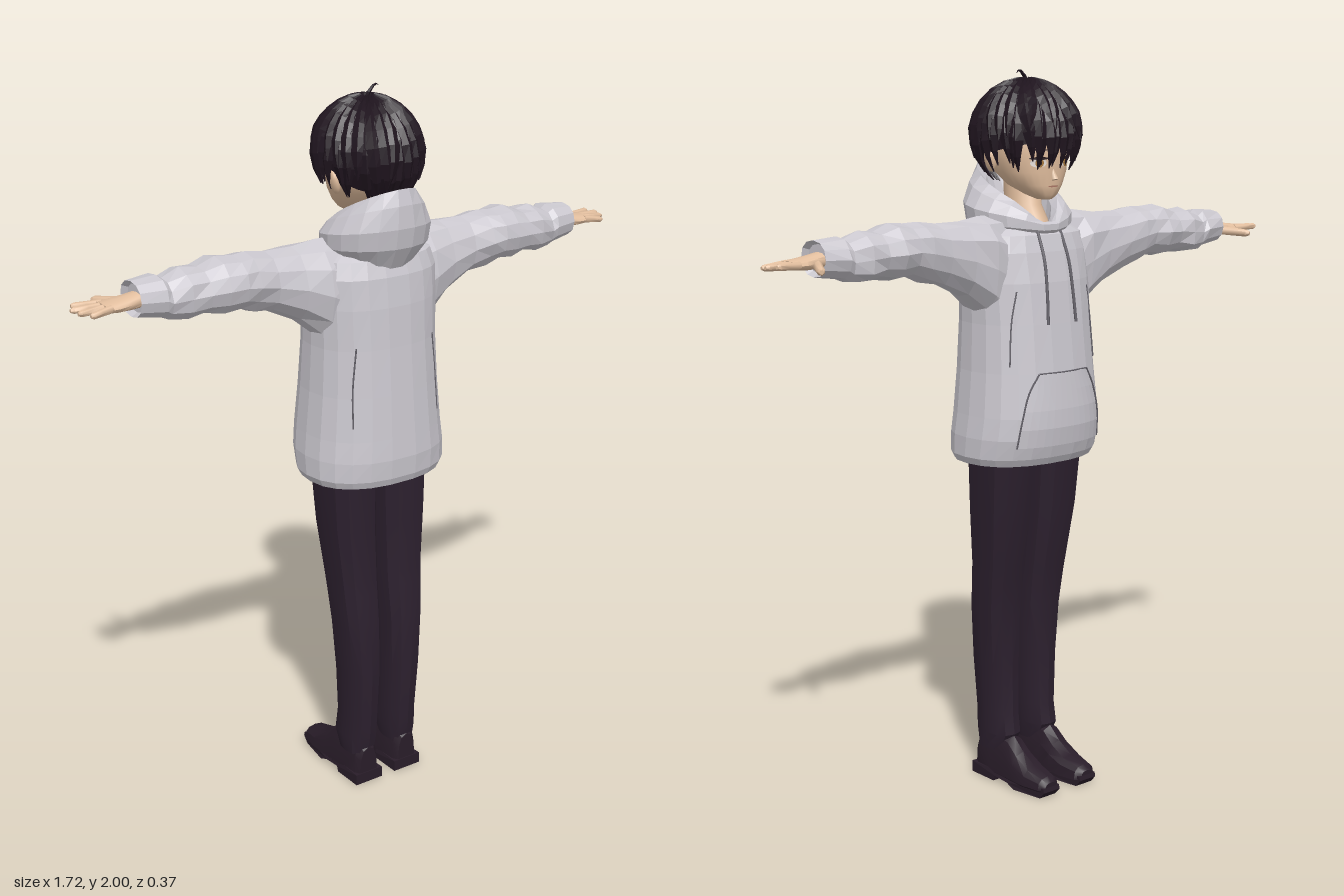
import * as THREE from 'three';
import { toCreasedNormals } from 'three/addons/utils/BufferGeometryUtils.js';

const V = (x, y, z) => new THREE.Vector3(x, y, z);
const mat = (name, color, side = THREE.FrontSide) => {
  const m = new THREE.MeshStandardMaterial({ color, side });
  m.name = name;
  return m;
};
const hash = (i) => { const s = Math.sin(i * 127.1 + 11.7) * 43758.5453; return s - Math.floor(s); };
const pw = (v, n) => Math.sign(v) * Math.abs(v) ** (2 / n);

// Closed rings of points joined into a skin with fan caps
function loft(rings, { crease = 0, capStart = true } = {}) {
  const mid = (r) => r.reduce((s, p) => s.add(p), V(0, 0, 0)).divideScalar(r.length);
  const n = rings[0].length, pos = [];
  const end = mid(rings.at(-1)), all = [...rings, rings[0].map(() => end)];
  if (capStart) { const c = mid(rings[0]); all.unshift(rings[0].map(() => c)); }
  const tri = (a, b, c) => {
    if (a.distanceTo(b) < 1e-6 || b.distanceTo(c) < 1e-6 || a.distanceTo(c) < 1e-6) return;
    pos.push(...a.toArray(), ...b.toArray(), ...c.toArray());
  };
  for (let i = 0; i < all.length - 1; i++) for (let j = 0; j < n; j++) {
    const k = (j + 1) % n, [p, q] = [all[i], all[i + 1]];
    tri(p[j], q[j], p[k]);
    tri(q[j], q[k], p[k]);
  }
  const g = new THREE.BufferGeometry();
  g.setAttribute('position', new THREE.Float32BufferAttribute(pos, 3));
  g.computeVertexNormals();
  return crease ? toCreasedNormals(g, crease) : g;
}
const ring = (n, f) => Array.from({ length: n }, (_, i) => {
  const a = (i / n) * Math.PI * 2;
  return f(Math.cos(a), Math.sin(a), i);
});
// Horizontal section: [y, half width, front z, back z]
const flatRing = ([y, rx, zf, zb], n, e, xc = 0) =>
  ring(n, (c, s) => V(xc + rx * pw(c, e), y, (zf + zb) / 2 + ((zb - zf) / 2) * pw(s, e)));
// Section across the arm: [x, low y, high y, front z, back z]
const armRing = ([x, y0, y1, zf, zb], n, e, wob = 0) => ring(n, (c, s, i) => {
  const k = 1 + wob * (hash(i * 7 + x * 91) - 0.5);
  return V(x, (y0 + y1) / 2 + ((y1 - y0) / 2) * k * pw(s, e), (zf + zb) / 2 + ((zb - zf) / 2) * k * pw(c, e));
});
// Depth of the front (side -1) or back (+1) surface of a horizontal loft
function depth(rows, x, y, e, side = -1) {
  let i = 0;
  while (i < rows.length - 2 && rows[i + 1][0] < y) i++;
  const t = THREE.MathUtils.clamp((y - rows[i][0]) / (rows[i + 1][0] - rows[i][0]), 0, 1);
  const [, rx, zf, zb] = rows[i].map((v, k) => v + (rows[i + 1][k] - v) * t);
  return (zf + zb) / 2 + side * ((zb - zf) / 2) * Math.max(0, 1 - Math.abs(x / rx) ** e) ** (1 / e);
}
// Tapered strand along points, flattened along its normals
function strand(pts, normals, width, thick, sides = 4, crease = 0) {
  const last = pts.length - 1;
  return loft(pts.map((p, i) => {
    const d = pts[Math.min(i + 1, last)].clone().sub(pts[Math.max(i - 1, 0)]).normalize();
    const n = Array.isArray(normals) ? normals[i] : normals;
    const s = d.clone().cross(n).normalize(), v = s.clone().cross(d);
    return ring(sides, (c, q) => p.clone().addScaledVector(s, c * width(i / last)).addScaledVector(v, q * thick(i / last)));
  }), { crease });
}

export function createModel() {
  const model = new THREE.Group();
  model.name = 'hoodedFigure';
  const D = THREE.DoubleSide;
  const cloth = mat('pale grey cloth', 0xcbc8cf, D), line = mat('seam grey', 0x67646c);
  const trouser = mat('dark plum cloth', 0x2c202e), shoe = mat('dark shoe', 0x291d29);
  const skin = mat('skin', 0xe3bf9f), hair = mat('black plum hair', 0x20151f, D);
  const white = mat('eye white', 0xeee6e2, D), iris = mat('amber iris', 0xa8793f, D);
  const dark = mat('lash dark', 0x2a1a1c, D), lip = mat('lip', 0xb57f6c, D);
  const add = (name, g, m, parent = model) => {
    const o = new THREE.Mesh(g, m);
    o.name = name;
    parent.add(o);
    return o;
  };
  const pair = (name, g, m) => {
    add(name + 'Left', g, m);
    add(name + 'Right', g, m).scale.x = -1;
  };
  const tube = (pts, r) => new THREE.TubeGeometry(new THREE.CatmullRomCurve3(pts), 14, r, 5);

  // Hoodie body, with a tucked hem
  const torso = [
    [0.945, 0.2, -0.13, 0.172], [0.965, 0.21, -0.142, 0.18], [1.02, 0.21, -0.16, 0.184], [1.08, 0.203, -0.163, 0.18],
    [1.2, 0.192, -0.152, 0.172], [1.33, 0.186, -0.138, 0.163], [1.44, 0.188, -0.125, 0.157],
    [1.52, 0.188, -0.108, 0.148], [1.565, 0.175, -0.094, 0.132], [1.588, 0.13, -0.07, 0.1],
  ];
  const E = 2.35;
  add('hoodieBody', loft([[0.99, 0.185, -0.115, 0.155], ...torso].map((r) => flatRing(r, 22, E))), cloth);

  // Sleeves with folds and cuffs
  pair('sleeve', loft([
    [0.09, 1.27, 1.612, -0.075, 0.1], [0.17, 1.345, 1.615, -0.088, 0.105], [0.24, 1.405, 1.607, -0.08, 0.088],
    [0.32, 1.445, 1.602, -0.078, 0.08], [0.38, 1.458, 1.615, -0.086, 0.085], [0.42, 1.478, 1.608, -0.08, 0.09],
    [0.47, 1.468, 1.614, -0.088, 0.09], [0.52, 1.478, 1.6, -0.08, 0.076], [0.57, 1.47, 1.6, -0.084, 0.072],
    [0.62, 1.477, 1.583, -0.07, 0.056], [0.635, 1.486, 1.592, -0.074, 0.06], [0.705, 1.495, 1.588, -0.064, 0.046],
    [0.69, 1.505, 1.578, -0.054, 0.036],
  ].map((r, i) => armRing(r, 12, 2.2, i > 10 ? 0 : 0.13))), cloth);

  // Lowered hood: [half width, front z, back z, front y, back y, front notch]
  const hoodRings = [
    [0.1, -0.085, 0.135, 1.56, 1.53, 0], [0.148, -0.1, 0.176, 1.585, 1.6, 0.01], [0.152, -0.1, 0.186, 1.61, 1.655, 0.02],
    [0.125, -0.092, 0.182, 1.63, 1.715, 0.035], [0.098, -0.08, 0.17, 1.635, 1.757, 0.045],
    [0.08, -0.062, 0.14, 1.62, 1.72, 0.045], [0.06, -0.05, 0.09, 1.56, 1.6, 0.01],
  ].map(([rx, zf, zb, yf, yb, notch]) => ring(18, (c, s) => {
    const y = (yf + yb) / 2 + ((yb - yf) / 2) * s - notch * Math.max(0, -s) ** 6;
    return V(rx * c, y, (zf + zb) / 2 + ((zb - zf) / 2) * s);
  }));
  add('hood', loft(hoodRings), cloth);

  // Front pouch pocket following the belly
  const pocket = new THREE.PlaneGeometry(2, 1, 12, 4), pp = pocket.attributes.position;
  for (let i = 0; i < pp.count; i++) {
    const v = pp.getY(i) + 0.5, x = pp.getX(i) * (0.145 - 0.06 * v * v), y = 1.0 + 0.2 * v;
    pp.setXYZ(i, x, y, depth(torso, x, y, E) - 0.005);
  }
  add('pocket', toCreasedNormals(pocket, 0.01), cloth);

  // Seams, drawn as fine cords on the cloth
  const seam = (list, side = -1, off = 0.006) => list.map(([x, y]) => V(x, y, depth(torso, x, y, E, side) + side * off));
  pair('pocketSeam', tube(seam([[0.145, 1.0], [0.135, 1.08], [0.115, 1.15], [0.085, 1.2]]), 0.0025), line);
  add('pocketTopSeam', tube(seam([[-0.085, 1.2], [0, 1.2], [0.085, 1.2]]), 0.002), line);
  pair('backSeam', tube(seam([[0.14, 1.12], [0.137, 1.22], [0.125, 1.34]], 1, 0), 0.0025), line);
  pair('frontFold', tube(seam([[0.15, 1.22], [0.14, 1.34], [0.125, 1.42]], -1, 0), 0.0022), line);
  pair('drawstring', tube(seam([[0.04, 1.58], [0.043, 1.5], [0.046, 1.42], [0.05, 1.33]], -1, 0.008), 0.0045), line);

  // Trouser legs
  pair('trouserLeg', loft([
    [0.09, 0.043, 0.005, 0.108, 0.07], [0.14, 0.048, -0.022, 0.118, 0.068], [0.2, 0.046, -0.014, 0.122, 0.067],
    [0.35, 0.052, -0.014, 0.132, 0.069], [0.5, 0.059, -0.02, 0.13, 0.073], [0.6, 0.064, -0.034, 0.12, 0.075],
    [0.64, 0.065, -0.042, 0.117, 0.076], [0.8, 0.073, -0.068, 0.113, 0.083], [1.0, 0.08, -0.09, 0.115, 0.085],
  ].map((r) => flatRing(r, 12, 2.5, r[4])), { crease: 0.5 }), trouser);

  // Shoes: uppers lofted from toe to heel, over a heeled sole
  const shoeRings = [
    [-0.18, 0.022, 0.045], [-0.165, 0.037, 0.058], [-0.11, 0.047, 0.072], [-0.06, 0.046, 0.1],
    [-0.02, 0.043, 0.135], [0.04, 0.042, 0.145], [0.095, 0.04, 0.135], [0.112, 0.03, 0.11],
  ].map(([z, rx, top]) => ring(12, (c, s) => {
    const y = c > 0 ? 0.025 + (top - 0.025) * pw(c, 2.4) : 0.02;
    return V(0.068 + rx * pw(s, 2.6), y, z);
  }));
  pair('shoeUpper', loft(shoeRings, { crease: 0.5 }), shoe);
  const profile = new THREE.Shape([[-0.115, 0], [-0.02, 0], [-0.015, 0.016], [0.04, 0.012], [0.07, 0], [0.165, 0],
    [0.183, 0.02], [0.18, 0.032], [-0.115, 0.032]].map(([a, b]) => new THREE.Vector2(a, b)));
  const sole = new THREE.ExtrudeGeometry(profile, { depth: 0.09, bevelEnabled: false });
  sole.rotateY(Math.PI / 2).translate(0.023, 0, 0);
  const sp = sole.attributes.position;
  for (let i = 0; i < sp.count; i++) if (sp.getZ(i) < -0.16) sp.setX(i, 0.068 + (sp.getX(i) - 0.068) * 0.65);
  sole.computeVertexNormals();
  pair('shoeSole', sole, shoe);

  // Hands with four fingers and a thumb
  pair('palm', loft([[0.67, 1.52, 1.562, -0.037, 0.02], [0.715, 1.517, 1.553, -0.045, 0.022],
    [0.75, 1.517, 1.547, -0.054, 0.025], [0.785, 1.52, 1.543, -0.054, 0.024]].map((r) => armRing(r, 12, 2.5)), { crease: 0.8 }), skin);
  const digit = (a, b, r) => {
    const radius = (t) => r * (t > 0.9 ? 0.45 : 1 - 0.25 * t);
    return strand([0, 0.5, 0.9, 1].map((t) => a.clone().lerp(b, t)), V(0, 1, 0), radius, radius, 7, 0.9);
  };
  [[-0.044, 0.845, -0.06], [-0.024, 0.86, -0.032], [-0.004, 0.853, -0.004], [0.014, 0.832, 0.022]].forEach(([z, x, tz], i) =>
    pair('finger' + (i + 1), digit(V(0.77, 1.533, z), V(x, 1.535 - i * 0.003, tz), 0.0105), skin));
  pair('thumb', digit(V(0.71, 1.53, -0.03), V(0.757, 1.522, -0.12), 0.013), skin);

  // Neck and head
  add('neck', loft([[1.55, 0.06, -0.075, 0.08], [1.6, 0.05, -0.064, 0.075], [1.64, 0.045, -0.038, 0.078],
    [1.74, 0.048, -0.02, 0.08]].map((r) => flatRing(r, 16, 2)), { crease: 0.8 }), skin);
  const head = [
    [1.658, 0.018, -0.09, -0.045], [1.67, 0.04, -0.1, -0.01], [1.695, 0.07, -0.103, 0.045], [1.73, 0.094, -0.105, 0.085],
    [1.78, 0.108, -0.107, 0.115], [1.85, 0.112, -0.106, 0.125], [1.91, 0.085, -0.08, 0.1],
  ];
  add('head', loft(head.map((r) => flatRing(r, 28, 2.2)), { crease: 0.9 }), skin);
  const nose = new THREE.ConeGeometry(0.01, 0.035, 5);
  nose.rotateX(0.3).translate(0, 1.728, -0.107);
  add('nose', nose, skin);
  const ear = new THREE.SphereGeometry(1, 10, 8);
  ear.scale(0.012, 0.033, 0.02).rotateZ(-0.25).translate(0.114, 1.762, 0.022);
  pair('ear', ear, skin);

  // Eyes, brows and mouth as thin plates on the face
  const plate = (x, y, rx, ry, off) => {
    const g = new THREE.CircleGeometry(1, 16), p = g.attributes.position;
    for (let i = 0; i < p.count; i++) {
      const px = x + p.getX(i) * rx, py = y + p.getY(i) * ry;
      p.setXYZ(i, px, py, depth(head, px, py, 2.2) - off);
    }
    g.computeVertexNormals();
    return g;
  };
  pair('eyeWhite', plate(0.046, 1.756, 0.021, 0.012, 0.0025), white);
  pair('iris', plate(0.045, 1.756, 0.011, 0.012, 0.004), iris);
  pair('pupil', plate(0.045, 1.756, 0.005, 0.007, 0.0055), dark);
  pair('lash', plate(0.047, 1.768, 0.025, 0.004, 0.006), dark);
  pair('brow', plate(0.048, 1.79, 0.024, 0.003, 0.004), dark);
  add('mouth', plate(0, 1.693, 0.018, 0.0022, 0.003), lip);

  // Hair: a cap under overlapping locks; angle 0 is the front
  const rad = THREE.MathUtils.degToRad;
  const onHead = (th, ph, k = 1) => V(0.135 * Math.sin(ph) * Math.sin(th) * k, 1.822 + 0.143 * Math.cos(ph) * k,
    0.008 - 0.15 * Math.sin(ph) * Math.cos(th) * k);
  const hem = (th) => rad(107 + 24 * Math.max(0, -Math.cos(th)) - 14 * Math.max(0, Math.cos(th)));
  const capRows = [1, 0.85, 0.7, 0.5, 0.3, 0.1].map((f) => ring(28, (c, s) => {
    const th = Math.atan2(c, -s);
    return onHead(th, hem(th) * f, 0.95);
  }));
  add('hairCap', loft(capRows, { capStart: false }), hair);
  const locks = new THREE.Group();
  locks.name = 'hairLocks';
  model.add(locks);
  const lock = (th, end, w, k, swirl) => {
    const pts = [], ns = [];
    for (let i = 0; i <= 7; i++) {
      const t = i / 7, ph = 0.12 + (end - 0.12) * t, a = th + swirl * t * t;
      pts.push(onHead(a, ph, k + 0.05 * t ** 4));
      ns.push(onHead(a, ph).sub(V(0, 1.822, 0.008)).normalize());
    }
    add('lock', strand(pts, ns, (t) => w * Math.min(1, 0.25 + 1.6 * t) * Math.min(1, (1.02 - t) * 2.6),
      (t) => 0.012 * Math.min(1, (1.05 - t) * 3)), hair, locks);
  };
  for (let i = 0; i < 26; i++) {
    const th = (i / 26) * Math.PI * 2, front = Math.max(0, Math.cos(th));
    lock(th, hem(th) + rad(6 + 14 * hash(i) + 14 * front), 0.026, 0.985, (hash(i + 40) - 0.5) * 0.3);
    lock(th + 0.12, hem(th) * (0.78 + 0.2 * hash(i + 80)), 0.024, 1.02, (hash(i + 120) - 0.5) * 0.4);
  }
  // Longer fringe points between and beside the eyes
  [[-0.75, 122], [-0.28, 118], [0.1, 121], [0.42, 124], [0.95, 122]].forEach(([a, e]) => lock(a, rad(e), 0.024, 0.98, 0.08));
  // Stray curl on the crown
  const curl = (t) => 0.007 * (1.03 - t);
  add('crownCurl', strand([V(0, 1.955, 0), V(0.006, 1.98, 0.006), V(0.022, 1.995, 0.004), V(0.042, 1.996, -0.01),
    V(0.06, 1.988, -0.024)], V(0, 0.5, 1).normalize(), curl, curl), hair);
  return model;
}
